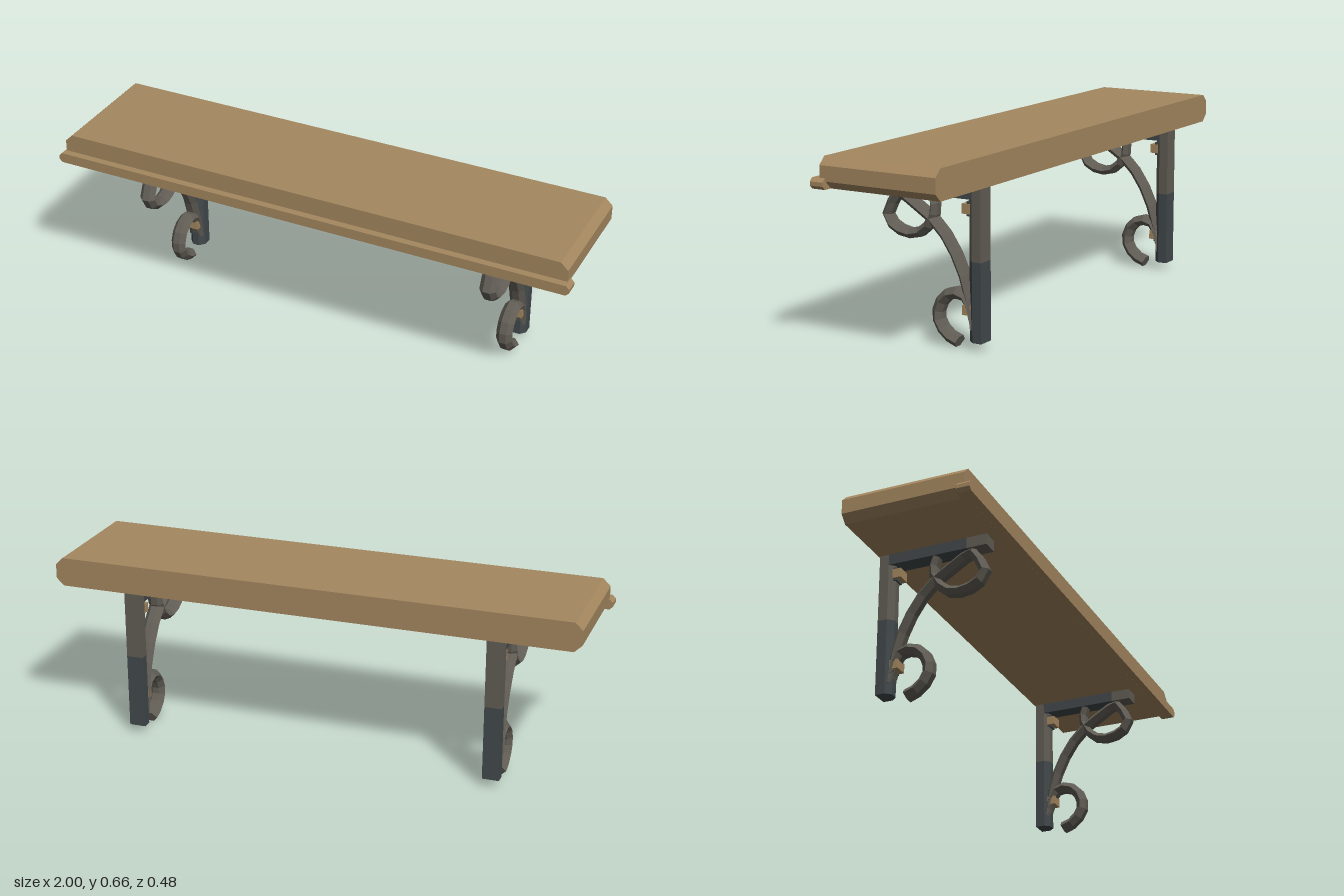
import * as THREE from 'three';

const wood = new THREE.MeshStandardMaterial({ color: 0xa4875f });
wood.name = 'wood';
const iron = new THREE.MeshStandardMaterial({ color: 0x615d55 });
iron.name = 'iron';
const darkIron = new THREE.MeshStandardMaterial({ color: 0x42484b });
darkIron.name = 'dark iron';

function add(parent, name, geometry, material) {
  const mesh = new THREE.Mesh(geometry, material);
  mesh.name = name;
  parent.add(mesh);
  return mesh;
}

function box(x0, x1, y0, y1, z0, z1) {
  return new THREE.BoxGeometry(x1 - x0, y1 - y0, z1 - z0)
    .translate((x0 + x1) / 2, (y0 + y1) / 2, (z0 + z1) / 2);
}

// Plank along x whose ends are chamfered above and below
function plank(halfX, y0, y1, z0, z1, cx, cy) {
  const shape = new THREE.Shape([
    [-halfX + cx, y0], [halfX - cx, y0], [halfX, y0 + cy], [halfX, y1 - cy],
    [halfX - cx, y1], [-halfX + cx, y1], [-halfX, y1 - cy], [-halfX, y0 + cy],
  ].map(([x, y]) => new THREE.Vector2(x, y)));
  return new THREE.ExtrudeGeometry(shape, { depth: z1 - z0, bevelEnabled: false }).translate(0, 0, z0);
}

// Six-sided bar swept along [z, y, halfThickness] points in the plane x = 0
function bar(path) {
  const rings = path.map(([z, y, h], i) => {
    const a = path[Math.max(i - 1, 0)];
    const b = path[Math.min(i + 1, path.length - 1)];
    const length = Math.hypot(b[0] - a[0], b[1] - a[1]);
    const nz = -(b[1] - a[1]) / length;
    const ny = (b[0] - a[0]) / length;
    return [[0.031, 0], [0.013, h], [-0.013, h], [-0.031, 0], [-0.013, -h], [0.013, -h]]
      .map(([x, n]) => [x, y + ny * n, z + nz * n]);
  });
  const out = [];
  const tri = (a, b, c) => out.push(...a, ...b, ...c);
  for (let i = 0; i < rings.length - 1; i++) {
    const a = rings[i], b = rings[i + 1];
    for (let j = 0; j < 6; j++) {
      const k = (j + 1) % 6;
      tri(a[j], a[k], b[k]);
      tri(a[j], b[k], b[j]);
    }
  }
  const first = rings[0], last = rings[rings.length - 1];
  for (let j = 1; j < 5; j++) {
    tri(first[0], first[j + 1], first[j]);
    tri(last[0], last[j], last[j + 1]);
  }
  const geometry = new THREE.BufferGeometry();
  geometry.setAttribute('position', new THREE.Float32BufferAttribute(out, 3));
  geometry.computeVertexNormals();
  return geometry;
}

// Upright with its two front edges chamfered
function upright(y0, y1) {
  const shape = new THREE.Shape([
    [-0.031, 0.235], [0.031, 0.235], [0.031, 0.2], [0.013, 0.18], [-0.013, 0.18], [-0.031, 0.2],
  ].reverse().map(([x, y]) => new THREE.Vector2(x, y)));
  return new THREE.ExtrudeGeometry(shape, { depth: y1 - y0, bevelEnabled: false })
    .rotateX(-Math.PI / 2).translate(0, y0, 0);
}

function createBracket() {
  const bracket = new THREE.Group();

  // Wall post and the arm under the shelf
  add(bracket, 'upperPost', upright(0.31, 0.562), iron);
  add(bracket, 'lowerPost', upright(0.033, 0.31), darkIron);
  add(bracket, 'arm', box(-0.031, 0.031, 0.52, 0.562, -0.2, 0.095), darkIron);
  add(bracket, 'armTip', box(-0.031, 0.031, 0.52, 0.562, 0.095, 0.17), iron);

  // Curved brace from the arm to the foot of the post
  add(bracket, 'brace', bar([
    [0.112, 0.514, 0.015], [0.075, 0.501, 0.018], [0.025, 0.47, 0.018], [-0.03, 0.435, 0.018],
    [-0.08, 0.385, 0.018], [-0.12, 0.325, 0.018], [-0.153, 0.255, 0.018], [-0.175, 0.18, 0.017],
    [-0.185, 0.125, 0.012], [-0.191, 0.075, 0.007],
  ]), iron);

  // Upper scroll curling under the arm
  add(bracket, 'upperScroll', bar([
    [0.107, 0.514, 0.016], [0.133, 0.478, 0.017], [0.153, 0.434, 0.018], [0.133, 0.4, 0.018],
    [0.1, 0.382, 0.018], [0.06, 0.375, 0.017], [0.02, 0.384, 0.017], [-0.012, 0.41, 0.016],
    [-0.036, 0.453, 0.015], [-0.039, 0.488, 0.014], [-0.028, 0.525, 0.013],
  ]), iron);

  // Lower scroll curling forward from the post
  add(bracket, 'lowerScroll', bar([
    [-0.13, 0.023, 0.02], [-0.095, 0.036, 0.02], [-0.067, 0.06, 0.02], [-0.05, 0.09, 0.02],
    [-0.049, 0.122, 0.02], [-0.063, 0.156, 0.02], [-0.09, 0.182, 0.02], [-0.125, 0.192, 0.02],
    [-0.158, 0.182, 0.018], [-0.176, 0.15, 0.014], [-0.186, 0.105, 0.009],
  ]), iron);

  // Pegs holding the bracket to the wall
  for (const y of [0.486, 0.14]) {
    const peg = new THREE.Group();
    peg.name = 'peg';
    peg.position.y = y;
    bracket.add(peg);
    add(peg, 'pegHead', box(-0.025, 0.025, -0.017, 0.017, -0.188, -0.157), wood);
    add(peg, 'pegWasher', box(-0.02, 0.02, -0.025, 0.025, -0.19, -0.174), darkIron);
  }
  return bracket;
}

export function createModel() {
  const model = new THREE.Group();
  model.name = 'wallShelf';

  // Shelf board with a slim moulding along its front edge
  add(model, 'board', plank(0.983, 0.56, 0.667, -0.24, 0.214, 0.028, 0.027), wood);
  add(model, 'frontMoulding', plank(1, 0.5601, 0.598, 0.19, 0.241, 0.012, 0.012), wood);

  for (const [name, x] of [['leftBracket', 0.682], ['rightBracket', -0.682]]) {
    const bracket = createBracket();
    bracket.name = name;
    bracket.position.x = x;
    model.add(bracket);
  }
  return model;
}
